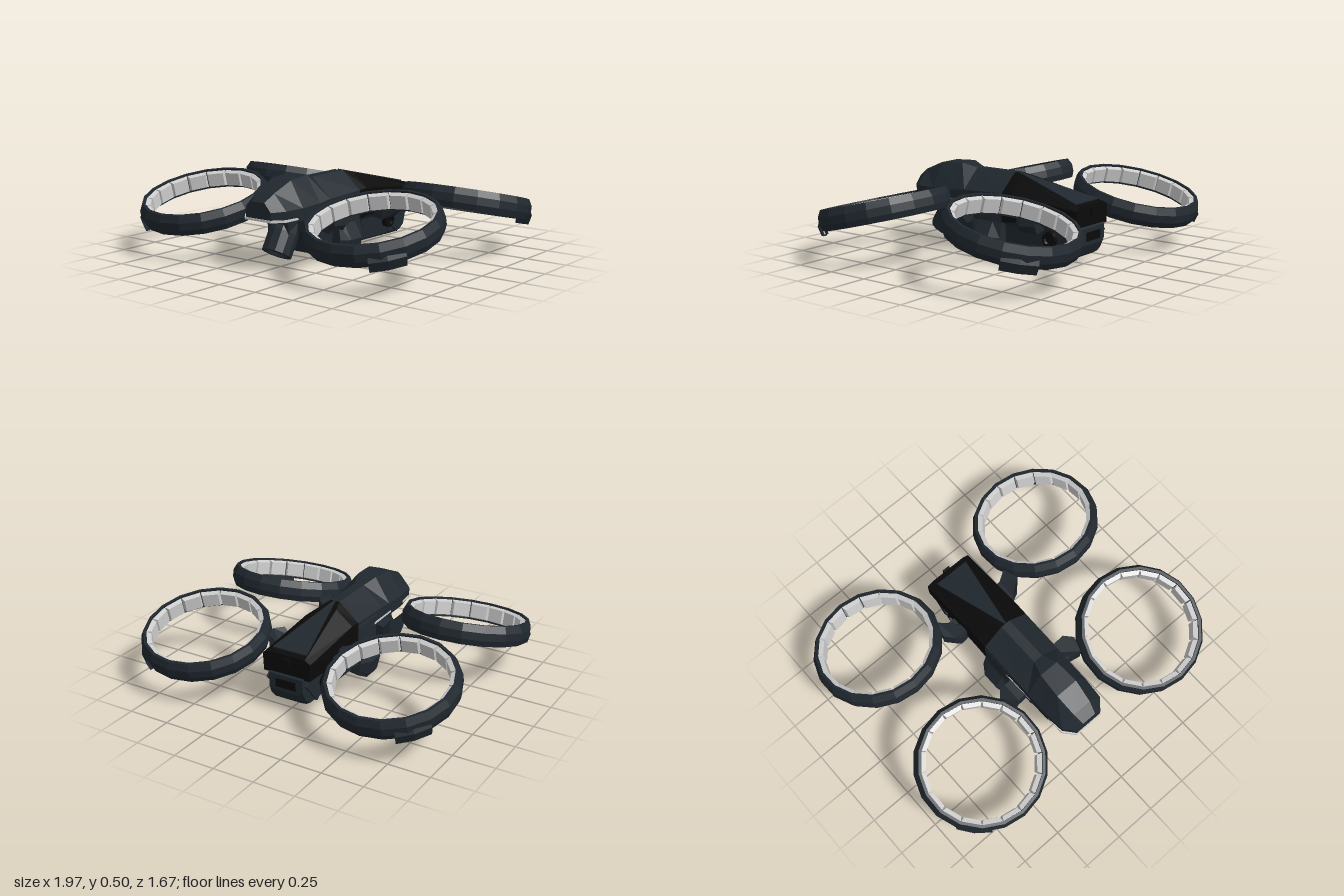
import * as THREE from 'three';
import { mergeGeometries } from 'three/addons/utils/BufferGeometryUtils.js';

const mat = (color, side = THREE.FrontSide) =>
  new THREE.MeshStandardMaterial({ color, flatShading: true, side });
const slate = mat(0x20282f), slateThin = mat(0x20282f, THREE.DoubleSide);
const black = mat(0x0a0a0b), grey = mat(0xcccccc);

function add(parent, name, geometry, material) {
  const mesh = new THREE.Mesh(geometry, material);
  mesh.name = name;
  parent.add(mesh);
  return mesh;
}

// Mirrored loft: sections run front to back, each [z, [x, y] from top to bottom of the +x half]
function loft(sections) {
  const rings = sections.map(([z, half]) => [
    ...half.map(([x, y]) => [x, y, z]),
    ...half.slice().reverse().map(([x, y]) => [-x, y, z]),
  ]);
  const pos = [], n = rings[0].length;
  const tri = (a, b, c) => pos.push(...a, ...b, ...c);
  for (let i = 0; i < rings.length - 1; i++) {
    for (let j = 0; j < n; j++) {
      const k = (j + 1) % n, r = rings[i], s = rings[i + 1];
      tri(r[j], r[k], s[k]);
      tri(r[j], s[k], s[j]);
    }
  }
  const first = rings[0], last = rings[rings.length - 1];
  for (let j = 1; j < n - 1; j++) {
    tri(first[0], first[j + 1], first[j]);
    tri(last[0], last[j], last[j + 1]);
  }
  const g = new THREE.BufferGeometry();
  g.setAttribute('position', new THREE.Float32BufferAttribute(pos, 3));
  g.computeVertexNormals();
  return g;
}

const lathe = (pts, seg, start, len) =>
  new THREE.LatheGeometry(pts.map(([x, y]) => new THREE.Vector2(x, y)), seg, start, len);

// Ducted ring with bevelled inner panels and a tab on its outer corner
function makeRotorRing(sx, sz) {
  const g = new THREE.Group();
  const SIDES = 18;
  add(g, 'ringShell', lathe([
    [0.345, -0.06], [0.368, -0.06], [0.382, -0.025], [0.382, 0.02],
    [0.362, 0.06], [0.345, 0.06], [0.345, -0.06],
  ], SIDES), slate);
  const panels = [];
  for (let i = 0; i < SIDES; i++) {
    const p = new THREE.CylinderGeometry(0.8 / Math.SQRT2, 1 / Math.SQRT2, 1, 4);
    p.rotateY(Math.PI / 4).scale(0.118, 0.028, 0.1).rotateX(-Math.PI / 2);
    p.translate(0, 0, 0.328).rotateY((i + 0.5) * 2 * Math.PI / SIDES);
    panels.push(p);
  }
  add(g, 'ringPanels', mergeGeometries(panels), grey);
  const mid = Math.atan2(sx, sz), span = Math.PI / 6;
  add(g, 'ringTab', lathe([
    [0.355, -0.05], [0.355, -0.085], [0.378, -0.085], [0.39, -0.03], [0.375, 0.0],
  ], 2, mid - span / 2, span), slateThin);
  g.position.set(sx * 0.61, 0.297, sz * 0.46);
  g.rotation.x = sz * 0.245;
  return g;
}

// Curved arm from the hull out to a ring
function makeArm(sx, sz) {
  const s = new THREE.Shape();
  const P = (x, z) => [sx * x, sz * z];
  s.moveTo(...P(0.1, 0.2));
  s.lineTo(...P(0.2, 0.19));
  s.lineTo(...P(0.24, 0.2));
  s.lineTo(...P(0.285, 0.25));
  s.lineTo(...P(0.255, 0.34));
  s.lineTo(...P(0.2, 0.315));
  s.lineTo(...P(0.1, 0.31));
  const geo = new THREE.ExtrudeGeometry(s, { depth: 0.09, bevelEnabled: false });
  geo.rotateX(Math.PI / 2).translate(0, 0.28, 0);
  // dip the middle of the arm and lift its end to the ring
  const p = geo.attributes.position;
  for (let i = 0; i < p.count; i++) {
    const x = Math.abs(p.getX(i));
    p.setY(i, p.getY(i) + (x > 0.23 ? 0.04 : x > 0.15 ? -0.015 : 0));
  }
  return geo;
}

export function createModel() {
  const model = new THREE.Group();
  model.name = 'quadcopter';

  // Faceted front canopy
  add(model, 'frontCanopy', loft([
    [0.685, [[0.045, 0.39], [0.09, 0.34], [0.085, 0.285]]],
    [0.62, [[0.06, 0.435], [0.145, 0.345], [0.14, 0.28]]],
    [0.49, [[0.07, 0.49], [0.155, 0.345], [0.155, 0.275]]],
    [0.34, [[0.06, 0.5], [0.155, 0.35], [0.155, 0.275]]],
    [0.25, [[0.03, 0.475], [0.155, 0.36], [0.155, 0.275]]],
    [-0.03, [[0.03, 0.475], [0.155, 0.37], [0.155, 0.24]]],
  ]), slate);

  // Pale trim line around the canopy's lower edge
  add(model, 'canopyTrim', loft([
    [0.69, [[0.093, 0.298], [0.093, 0.285]]],
    [0.625, [[0.15, 0.298], [0.15, 0.285]]],
    [0.16, [[0.159, 0.298], [0.159, 0.285]]],
  ]), grey);

  // Sloping rear deck and its tapered top panel
  add(model, 'rearDeck', loft([
    [-0.03, [[0.03, 0.474], [0.155, 0.37], [0.155, 0.2]]],
    [-0.1, [[0.05, 0.457], [0.155, 0.375], [0.155, 0.21]]],
    [-0.55, [[0.12, 0.345], [0.155, 0.325], [0.15, 0.22]]],
  ]), black);
  add(model, 'rearTopPanel', loft([
    [-0.03, [[0.004, 0.48], [0.004, 0.46]]],
    [-0.515, [[0.11, 0.36], [0.11, 0.34]]],
  ]), slate);
  add(model, 'tailLatch', new THREE.BoxGeometry(0.045, 0.04, 0.03), black)
    .position.set(0, 0.31, -0.555);

  // Lower hull
  const hull = (z, w, bottom) => [z, [
    [w, 0.285], [w, 0.21], [w - 0.02, Math.max(0.18, bottom + 0.02)], [w - 0.025, bottom + 0.015], [w - 0.05, bottom],
  ]];
  add(model, 'lowerHull', loft([
    hull(0.44, 0.12, 0.18), hull(0.4, 0.14, 0.15), hull(0.33, 0.14, 0.05),
    hull(-0.38, 0.135, 0.04),
  ]), slate);
  add(model, 'tailHull', loft([
    [-0.37, [[0.12, 0.25], [0.12, 0.06], [0.09, 0.04]]],
    [-0.49, [[0.12, 0.25], [0.12, 0.06], [0.09, 0.04]]],
    [-0.535, [[0.115, 0.24], [0.115, 0.085], [0.085, 0.065]]],
    [-0.56, [[0.11, 0.22], [0.11, 0.14], [0.085, 0.12]]],
  ]), slate);
  add(model, 'bellyPanel', new THREE.BoxGeometry(0.12, 0.01, 0.4), black)
    .position.set(0, 0.038, -0.24);
  add(model, 'tailVent', new THREE.BoxGeometry(0.13, 0.05, 0.02), black)
    .position.set(0, 0.17, -0.555);

  // Flared side pods joined under the hull
  const pod = (z, k, low) => [z, [
    [0.14, 0.36], [0.158, 0.34], [0.155 + 0.01 * k, 0.2], [0.175 + 0.04 * k, 0.11],
    [0.165 + 0.03 * k, low + 0.025], [0.16 + 0.02 * k, low], [0.09, low + 0.012], [0.07, 0.045],
  ]];
  add(model, 'sidePods', loft([
    pod(0.18, 0, 0.03), pod(0.13, 1, 0), pod(0.03, 1, 0), pod(-0.03, 0, 0.03),
  ]), slate);

  for (const sx of [1, -1]) {
    // Rimmed opening below each pod and round port on the tail
    const rim = add(model, 'podRim', new THREE.CylinderGeometry(0.5, 0.5, 0.008, 6), grey);
    rim.scale.set(0.085, 1, 0.13);
    rim.position.set(sx * 0.135, 0.006, 0.08);
    rim.rotation.z = -sx * 0.12;
    const hole = add(model, 'podOpening', new THREE.CylinderGeometry(0.5, 0.5, 0.008, 6), black);
    hole.scale.set(0.07, 1, 0.112);
    hole.position.set(sx * 0.135, 0.004, 0.08);
    hole.rotation.z = -sx * 0.12;
    const port = add(model, 'tailPort', lathe([
      [0, -0.015], [0.028, -0.015], [0.032, -0.03], [0.045, -0.03], [0.045, 0.03], [0, 0.03],
    ], 12), black);
    port.position.set(sx * 0.115, 0.14, -0.355);
    port.rotation.z = sx * Math.PI / 2;
    const strut = add(model, 'tailStrut', new THREE.BoxGeometry(0.03, 0.17, 0.05), slate);
    strut.position.set(sx * 0.118, 0.135, -0.48);
    strut.rotation.x = -0.7;

    for (const sz of [1, -1]) {
      const end = sz > 0 ? 'front' : 'rear';
      add(model, end + 'Arm', makeArm(sx, sz), slate);
      const ring = makeRotorRing(sx, sz);
      ring.name = end + (sx > 0 ? 'Left' : 'Right') + 'RotorRing';
      model.add(ring);
    }
  }

  // Camera hanging below the nose
  const camera = new THREE.Group();
  camera.name = 'noseCamera';
  add(camera, 'cameraBody', lathe([
    [0, -0.06], [0.058, -0.06], [0.068, -0.085], [0.087, -0.085],
    [0.087, 0.04], [0.075, 0.11], [0, 0.11],
  ], 12), slate);
  add(camera, 'cameraLens', new THREE.CylinderGeometry(0.055, 0.055, 0.01, 12), black)
    .position.y = -0.062;
  camera.position.set(0, 0.148, 0.492);
  camera.rotation.x = -0.53;
  model.add(camera);
  add(model, 'cameraMount', new THREE.BoxGeometry(0.15, 0.1, 0.12), slate)
    .position.set(0, 0.24, 0.46);

  return model;
}
